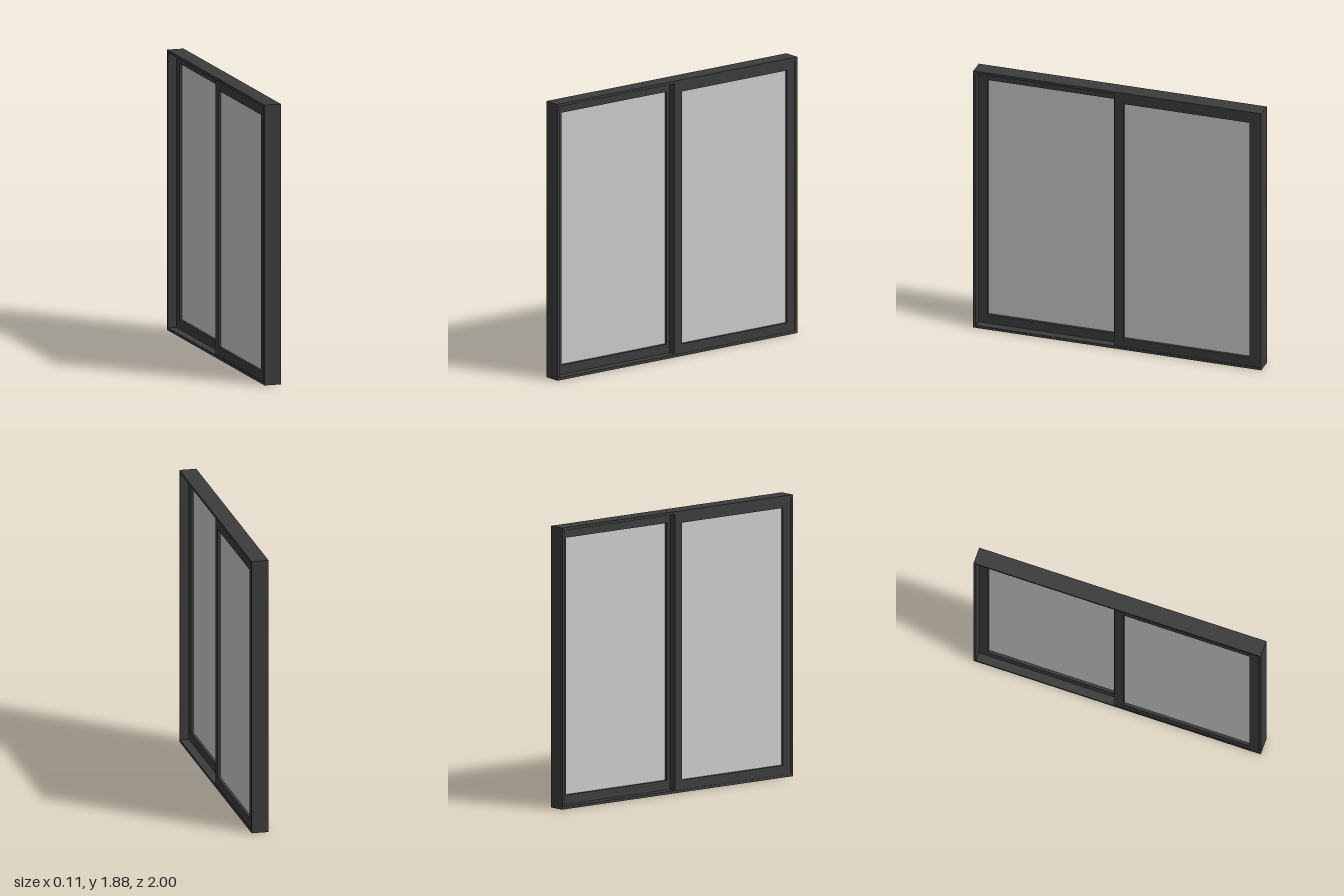
import * as THREE from 'three';

const HEIGHT = 1.88, WIDTH = 2, DEPTH = 0.114;
const FRAME = 0.018;      // thickness of the outer frame
const RAIL = 0.063;       // face width of the sash members
const SASH_DEPTH = 0.052;
const OVERLAP = 0.02;     // how far each sash passes the middle

const dark = new THREE.MeshStandardMaterial({ color: 0x3c3c3c });
const pale = new THREE.MeshStandardMaterial({ color: 0xcccccc });

// Rectangular ring in the z-y plane, extruded along x and centred on the origin
function ring(name, width, height, border, depth) {
  const w = width / 2, h = height / 2, a = w - border, b = h - border;
  const shape = new THREE.Shape([
    new THREE.Vector2(-w, -h), new THREE.Vector2(w, -h),
    new THREE.Vector2(w, h), new THREE.Vector2(-w, h),
  ]);
  shape.holes.push(new THREE.Path([
    new THREE.Vector2(-a, -b), new THREE.Vector2(-a, b),
    new THREE.Vector2(a, b), new THREE.Vector2(a, -b),
  ]));
  const geometry = new THREE.ExtrudeGeometry(shape, { depth, bevelEnabled: false });
  geometry.translate(0, 0, -depth / 2);
  geometry.rotateY(Math.PI / 2);
  const mesh = new THREE.Mesh(geometry, dark);
  mesh.name = name;
  return mesh;
}

// One sliding sash with its pane; side = 1 sits at +x and covers the -z half
function makeSash(name, side) {
  const sash = new THREE.Group();
  sash.name = name;
  const width = WIDTH / 2 - FRAME + OVERLAP;
  const height = HEIGHT - 2 * FRAME;
  sash.add(ring('sashFrame', width, height, RAIL, SASH_DEPTH));

  const pane = new THREE.Mesh(
    new THREE.BoxGeometry(0.016, height - 2 * RAIL, width - 2 * RAIL), pale);
  pane.name = 'glassPane';
  sash.add(pane);

  sash.position.set(side * (SASH_DEPTH / 2 + 0.001), HEIGHT / 2, side * (OVERLAP - width / 2));
  return sash;
}

export function createModel() {
  const model = new THREE.Group();
  model.name = 'slidingWindow';

  const frame = ring('outerFrame', WIDTH, HEIGHT, FRAME, DEPTH);
  frame.position.y = HEIGHT / 2;
  model.add(frame);

  // Two sashes on parallel tracks, mirrored by a half turn
  model.add(makeSash('leftTrackSash', 1), makeSash('rightTrackSash', -1));
  return model;
}
